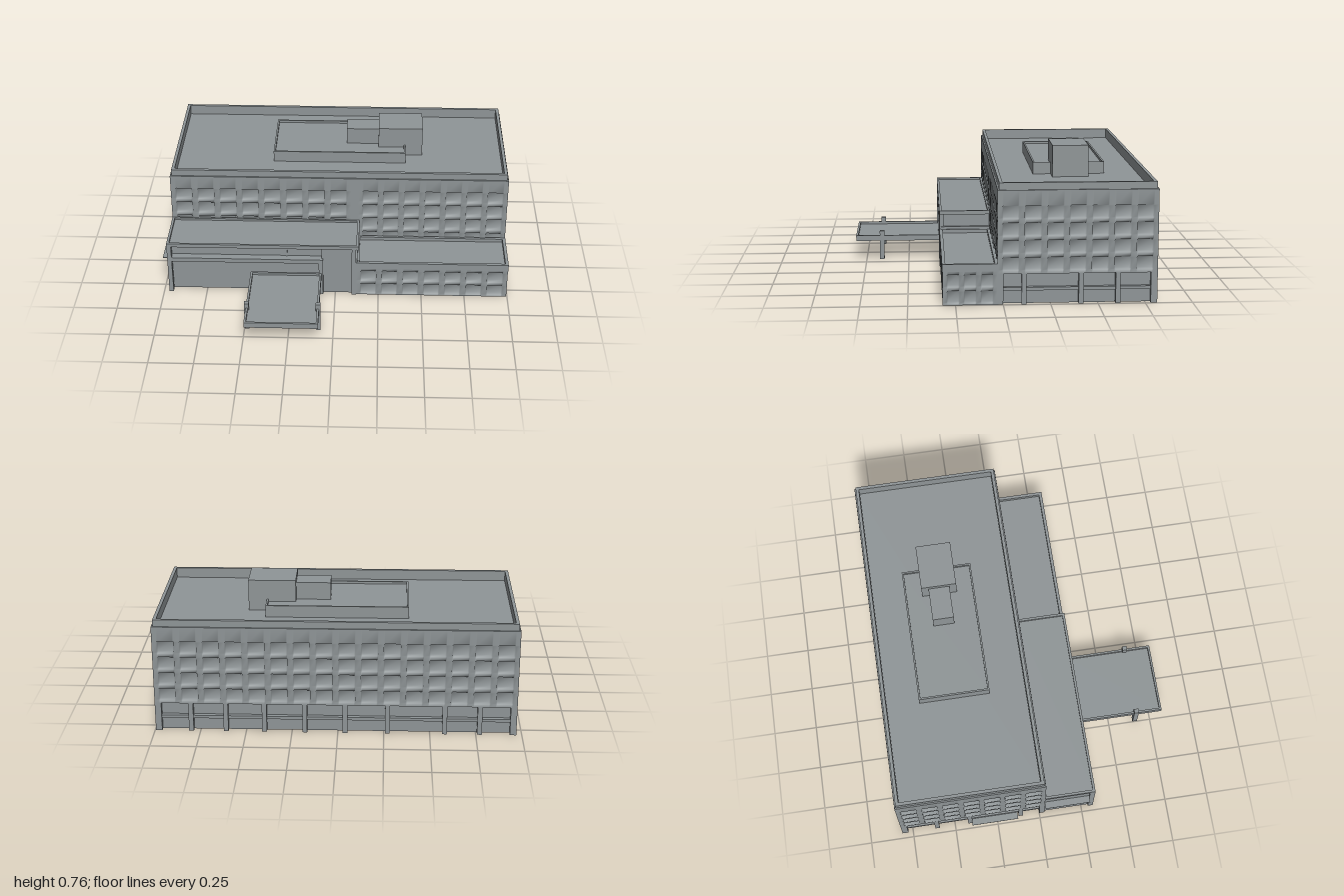
import * as THREE from 'three';

export function createModel() {
  const root = new THREE.Group();
  root.name = 'officeBuilding';
  const concrete = new THREE.MeshStandardMaterial({ color: 0x8f9597, side: THREE.DoubleSide });
  concrete.name = 'grey concrete';

  const add = (name, geometry, parent = root) => {
    const mesh = new THREE.Mesh(geometry, concrete);
    mesh.name = name;
    parent.add(mesh);
    return mesh;
  };

  // Box given by its extents on each axis
  const box = (name, x0, x1, y0, y1, z0, z1, parent = root) => {
    const mesh = add(name, new THREE.BoxGeometry(x1 - x0, y1 - y0, z1 - z0), parent);
    mesh.position.set((x0 + x1) / 2, (y0 + y1) / 2, (z0 + z1) / 2);
    return mesh;
  };

  const trace = (path, x0, y0, x1, y1) => {
    path.moveTo(x0, y0);
    path.lineTo(x1, y0);
    path.lineTo(x1, y1);
    path.lineTo(x0, y1);
    path.closePath();
    return path;
  };

  // Rectangular rim lying flat
  const ring = (name, x0, x1, z0, z1, y0, y1, rim, parent = root) => {
    const shape = trace(new THREE.Shape(), x0, -z1, x1, -z0);
    shape.holes.push(trace(new THREE.Path(), x0 + rim, -z1 + rim, x1 - rim, -z0 - rim));
    const geo = new THREE.ExtrudeGeometry(shape, { depth: y1 - y0, bevelEnabled: false });
    geo.rotateX(-Math.PI / 2);
    add(name, geo, parent).position.y = y0;
  };

  // Flat roof with a raised rim around it
  const roofTray = (name, x0, x1, z0, z1, y0, y1, rim, floorY) => {
    const g = new THREE.Group();
    g.name = name;
    box('roofDeck', x0 + rim / 2, x1 - rim / 2, floorY - 0.01, floorY, z0 + rim / 2, z1 - rim / 2, g);
    ring('parapet', x0, x1, z0, z1, y0, y1, rim, g);
    root.add(g);
  };

  // Grid lines across a row of cells: two edges and two reveal feet per cell
  const gridLines = (start, end, from, to, count, reveal) => {
    const lines = [start], step = (to - from) / count, gap = step * 0.12;
    for (let i = 0; i < count; i++) {
      const a = from + i * step + gap, b = from + (i + 1) * step - gap;
      lines.push(a, a + reveal, b - reveal, b);
    }
    return [...lines, end];
  };

  // Waffle wall of recessed windows, facing +z before turning
  const facade = (name, width, y0, y1, cols, rows, gridY0, gridY1, x, z, turn) => {
    const depth = 0.02;
    const xs = gridLines(-width / 2, width / 2, -width / 2 + 0.01, width / 2 - 0.01, cols, 0.007);
    const ys = gridLines(y0, y1, gridY0, gridY1, rows, 0.007);
    const geo = new THREE.PlaneGeometry(1, 1, xs.length - 1, ys.length - 1);
    const sunk = (k, n) => k > 0 && k < n - 1 && ((k - 1) % 4 === 1 || (k - 1) % 4 === 2);
    for (let v = 0; v < geo.attributes.position.count; v++) {
      const i = v % xs.length, j = ys.length - 1 - Math.floor(v / xs.length);
      const recess = sunk(i, xs.length) && sunk(j, ys.length);
      geo.attributes.position.setXYZ(v, xs[i], ys[j], recess ? -depth : 0);
    }
    geo.computeVertexNormals();
    const wall = add(name, geo);
    wall.position.set(x, 0, z);
    wall.rotation.y = turn;
  };

  const L = -0.97, R = 0.995, B = -0.813, F = 0.03;
  const midX = (L + R) / 2, midZ = (B + F) / 2, soffit = 0.165, wallTop = 0.61;
  const pierL = 0.085, pierR = 0.125;

  // Upper storeys, the front divided by a plain pier
  facade('frontFacadeRight', pierL - L, soffit, wallTop, 8, 4, 0.172, 0.54, (L + pierL) / 2, F, 0);
  facade('frontFacadeLeft', R - pierR, soffit, wallTop, 7, 4, 0.172, 0.54, (R + pierR) / 2, F, 0);
  box('frontPier', pierL, pierR, soffit, wallTop, F - 0.012, F);
  facade('backFacade', R - L, soffit, wallTop, 16, 4, 0.172, 0.54, midX, B, Math.PI);
  facade('leftFacade', F - B, soffit, wallTop, 7, 4, 0.172, 0.54, R, midZ, Math.PI / 2);
  facade('rightFacade', F - B, soffit, wallTop, 7, 4, 0.172, 0.54, L, midZ, -Math.PI / 2);
  ring('wallHead', L + 0.001, R - 0.001, B + 0.001, F - 0.001, 0.595, wallTop, 0.02);
  roofTray('mainRoof', L + 0.009, R - 0.009, B + 0.009, F - 0.009, 0.585, 0.648, 0.018, 0.59);

  // Rooftop plant
  roofTray('roofPlatform', -0.38, 0.40, -0.6, -0.2, 0.585, 0.656, 0.01, 0.642);
  box('plantRoomLow', 0.05, 0.24, 0.59, 0.74, -0.46, -0.34);
  box('plantRoomHigh', 0.24, 0.50, 0.59, 0.765, -0.5, -0.3);

  // Recessed ground floor with columns and rails
  const inset = 0.03;
  box('groundWallBack', L + inset, R - inset, 0, soffit, B + inset, B + inset + 0.01);
  box('railBack', L + 0.01, R - 0.01, 0.073, 0.09, B + 0.008, B + inset);
  box('soffitBack', L + 0.005, R - 0.005, soffit, soffit + 0.006, B + 0.003, B + inset + 0.01);
  for (const s of [-1, 1]) {
    const edge = s < 0 ? L : R;
    const span = (a, b) => [edge - s * a, edge - s * b].sort((p, q) => p - q);
    box('groundWallSide', ...span(inset, inset + 0.01), 0, soffit, B + inset, F);
    box('railSide', ...span(0.008, inset), 0.073, 0.09, B + 0.01, F - 0.005);
    box('soffitSide', ...span(0.003, inset + 0.01), soffit, soffit + 0.006, B + 0.003, F - 0.003);
    for (const z of [0.017, -0.11, -0.41, -0.605, -0.8]) {
      box('sideColumn', ...span(0, inset + 0.005), 0, soffit + 0.002, z - 0.013, z + 0.013);
    }
  }
  for (const x of [-0.957, -0.77, -0.58, -0.27, -0.04, 0.18, 0.4, 0.61, 0.8, 0.982]) {
    box('backColumn', x - 0.013, x + 0.013, 0, soffit + 0.002, B, B + inset + 0.005);
    box('innerColumn', x - 0.013, x + 0.013, 0, soffit + 0.002, F - 0.03, F - 0.002);
  }

  // Low front wing on the model's left
  const wingX = 0.12, wingZ = 0.317;
  facade('wingFront', R - wingX, 0, 0.185, 7, 2, 0, 0.175, (wingX + R) / 2, wingZ, 0);
  facade('wingSide', wingZ - F, 0, 0.185, 3, 2, 0, 0.175, R, (wingZ + F) / 2, Math.PI / 2);
  roofTray('wingRoof', wingX, R + 0.002, F - 0.005, wingZ + 0.003, 0.18, 0.22, 0.018, 0.2);

  // Entrance hall on the model's right
  roofTray('hallRoof', L, wingX + 0.015, F - 0.005, 0.32, 0.308, 0.33, 0.014, 0.318);
  box('hallPier', L, -0.945, 0, 0.31, 0.29, 0.32);
  box('hallPier', 0.095, wingX, 0, 0.31, 0.295, 0.32);
  box('hallSideWall', -0.96, -0.95, 0, 0.31, F, 0.3);
  box('hallInnerWall', 0.098, 0.108, 0, 0.31, F, 0.3);
  box('hallInnerSill', 0.1, wingX + 0.008, 0.2, 0.235, F, 0.31);
  box('entranceWall', -0.95, -0.08, 0, 0.31, 0.265, 0.275);
  box('entrancePanel', -0.08, 0.1, 0, 0.31, 0.265, 0.3);
  box('entranceMullion', -0.285, -0.278, 0, 0.31, 0.274, 0.28);
  box('entranceBeam', -0.95, -0.07, 0.21, 0.235, 0.275, 0.32);
  box('entrancePost', -0.095, -0.07, 0, 0.235, 0.275, 0.32);
  box('sideLedgeHigh', -1.0, -0.955, 0.212, 0.215, F, 0.29);
  box('sideLedgeLow', -1.0, -0.94, 0.065, 0.068, -0.4, -0.13);

  // Entrance canopy
  roofTray('canopy', -0.49, -0.08, 0.31, 0.812, 0.11, 0.142, 0.012, 0.128);
  for (const x of [-0.485, -0.085]) {
    box('canopyPost', x - 0.013, x + 0.013, 0, 0.17, 0.645, 0.672);
  }

  return root;
}
